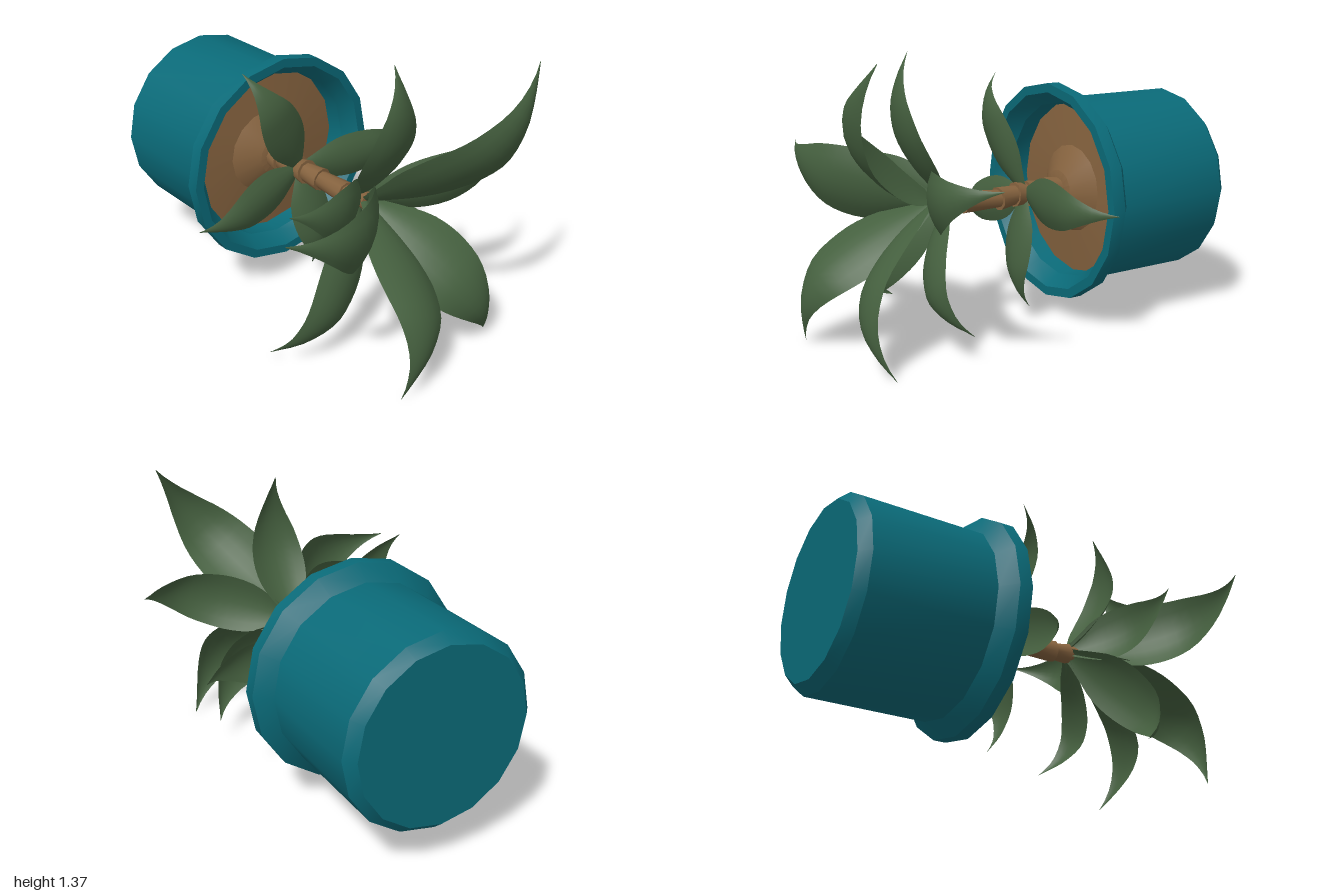
import * as THREE from 'three';
import { toCreasedNormals } from 'three/addons/utils/BufferGeometryUtils.js';

const mat = (color, side = THREE.FrontSide) => new THREE.MeshStandardMaterial({ color, side });
const teal = mat(0x0a6a78);
const brown = mat(0x86633f);
const green = mat(0x45603f, THREE.DoubleSide);

// Turned part whose axis runs along z; profile is [radius, z] pairs
function turned(name, profile, sides, material) {
  const lathe = new THREE.LatheGeometry(profile.map(([r, z]) => new THREE.Vector2(r, z)), sides);
  lathe.rotateX(Math.PI / 2);
  const mesh = new THREE.Mesh(toCreasedNormals(lathe, 0.5), material);
  mesh.name = name;
  return mesh;
}

// Blade outline: relative half width along its length
const OUTLINE = [[0, 0.2], [0.1, 0.54], [0.25, 0.88], [0.4, 1], [0.55, 0.96], [0.7, 0.8], [0.85, 0.5], [0.95, 0.2], [1, 0.01]];
const outline = new THREE.SplineCurve(OUTLINE.map(([t, w]) => new THREE.Vector2(t, w)));

// Arched leaf with drooping edges: rises forward from its base to zPeak, then bends back to the tip
function leaf(name, base, tip, zPeak, halfWidth) {
  const [bx, by, bz] = base, [tx, ty, tz] = tip;
  const rise = zPeak - bz;
  const at = (f, z) => new THREE.Vector3(bx + (tx - bx) * f, by + (ty - by) * f, z);
  const path = new THREE.CatmullRomCurve3([
    at(0, bz), at(0.13, bz + rise * 0.36), at(0.28, bz + rise * 0.67), at(0.47, bz + rise * 0.92),
    at(0.68, zPeak), at(0.86, zPeak + (tz - zPeak) * 0.35), at(1, tz),
  ], false, 'centripetal');
  const across = new THREE.Vector3(-(ty - by), tx - bx, 0).normalize();
  const rows = 18, cols = 6, pos = [], index = [];
  for (let i = 0; i <= rows; i++) {
    const t = i / rows;
    const p = path.getPointAt(t);
    const up = new THREE.Vector3().crossVectors(path.getTangentAt(t), across).normalize();
    const w = halfWidth * outline.getPoint(t).y;
    for (let j = 0; j <= cols; j++) {
      const u = (j / cols) * 2 - 1;
      const v = p.clone().addScaledVector(across, u * w).addScaledVector(up, -0.28 * w * u * u);
      pos.push(v.x, v.y, v.z);
      if (i < rows && j < cols) {
        const a = i * (cols + 1) + j, b = a + cols + 1;
        index.push(a, b, a + 1, b, b + 1, a + 1);
      }
    }
  }
  const g = new THREE.BufferGeometry();
  g.setAttribute('position', new THREE.Float32BufferAttribute(pos, 3));
  g.setIndex(index);
  g.computeVertexNormals();
  const mesh = new THREE.Mesh(g, green);
  mesh.name = name;
  return mesh;
}

// Ring of leaves sharing one base; each entry is [tip, zPeak]
function rosette(name, base, halfWidth, leaves) {
  const group = new THREE.Group();
  group.name = name;
  leaves.forEach(([tip, zPeak], i) => group.add(leaf(`${name}Leaf${i + 1}`, base, tip, zPeak, halfWidth)));
  return group;
}

export function createModel() {
  const model = new THREE.Group();
  model.name = 'pottedPlant';

  // Pot lying on its side, with soil mounded around the stem
  const pot = turned('pot', [
    [0, -1], [0.42, -1], [0.465, -0.95], [0.465, -0.35], [0.54, -0.285],
    [0.54, -0.22], [0.495, -0.22], [0.44, -0.3], [0.43, -0.45],
  ], 16, teal);
  const soil = turned('soil', [[0.445, -0.39], [0.22, -0.37], [0.1, -0.29], [0, -0.28]], 16, brown);
  for (const part of [pot, soil]) {
    part.position.set(0.02, 0.64, 0);
    model.add(part);
  }

  // Stem: stacked segments, each flaring towards its front end
  const stem = new THREE.Group();
  stem.name = 'stem';
  const joints = [
    [0.02, 0.64, -0.36], [0.01, 0.64, -0.22], [0.01, 0.64, -0.11], [0.01, 0.645, -0.04],
    [0.02, 0.64, 0.06], [0.015, 0.645, 0.25], [0.02, 0.655, 0.34], [0.02, 0.66, 0.4],
  ].map((p) => new THREE.Vector3(...p));
  for (let i = 0; i < joints.length - 1; i++) {
    const dir = joints[i + 1].clone().sub(joints[i]);
    const r = 0.07 - i * 0.004;
    const g = new THREE.CylinderGeometry(r, r * 0.8, dir.length() + 0.015, 10);
    const segment = new THREE.Mesh(toCreasedNormals(g, 0.7), brown);
    segment.name = `stemSegment${i + 1}`;
    segment.position.copy(joints[i]).addScaledVector(dir, 0.5);
    segment.quaternion.setFromUnitVectors(new THREE.Vector3(0, 1, 0), dir.normalize());
    stem.add(segment);
  }
  model.add(stem);

  // Three tiers of leaves
  model.add(rosette('lowerRosette', [0.01, 0.65, -0.09], 0.115, [
    [[-0.3, 1.21, -0.12], 0],
    [[0.71, 0.67, -0.13], 0.01],
    [[0.08, 0.08, -0.08], 0.005],
    [[-0.57, 0.47, -0.13], -0.03],
  ]));
  model.add(rosette('middleRosette', [0.02, 0.66, 0.34], 0.14, [
    [[0.02, 1.37, 0.54], 0.61],
    [[0.76, 0.87, 0.5], 0.66],
    [[0.42, 0.14, 0.44], 0.58],
    [[-0.54, 0.05, 0.37], 0.56],
    [[-0.55, 0.83, 0.54], 0.58],
  ]));
  model.add(rosette('topRosette', [0.005, 0.67, 0.41], 0.175, [
    [[0.51, 1.38, 0.92], 0.98],
    [[-0.76, 0.88, 0.78], 0.855],
    [[-0.27, 0.01, 0.96], 1],
    [[0.41, 0.01, 0.82], 0.905],
  ]));
  return model;
}
